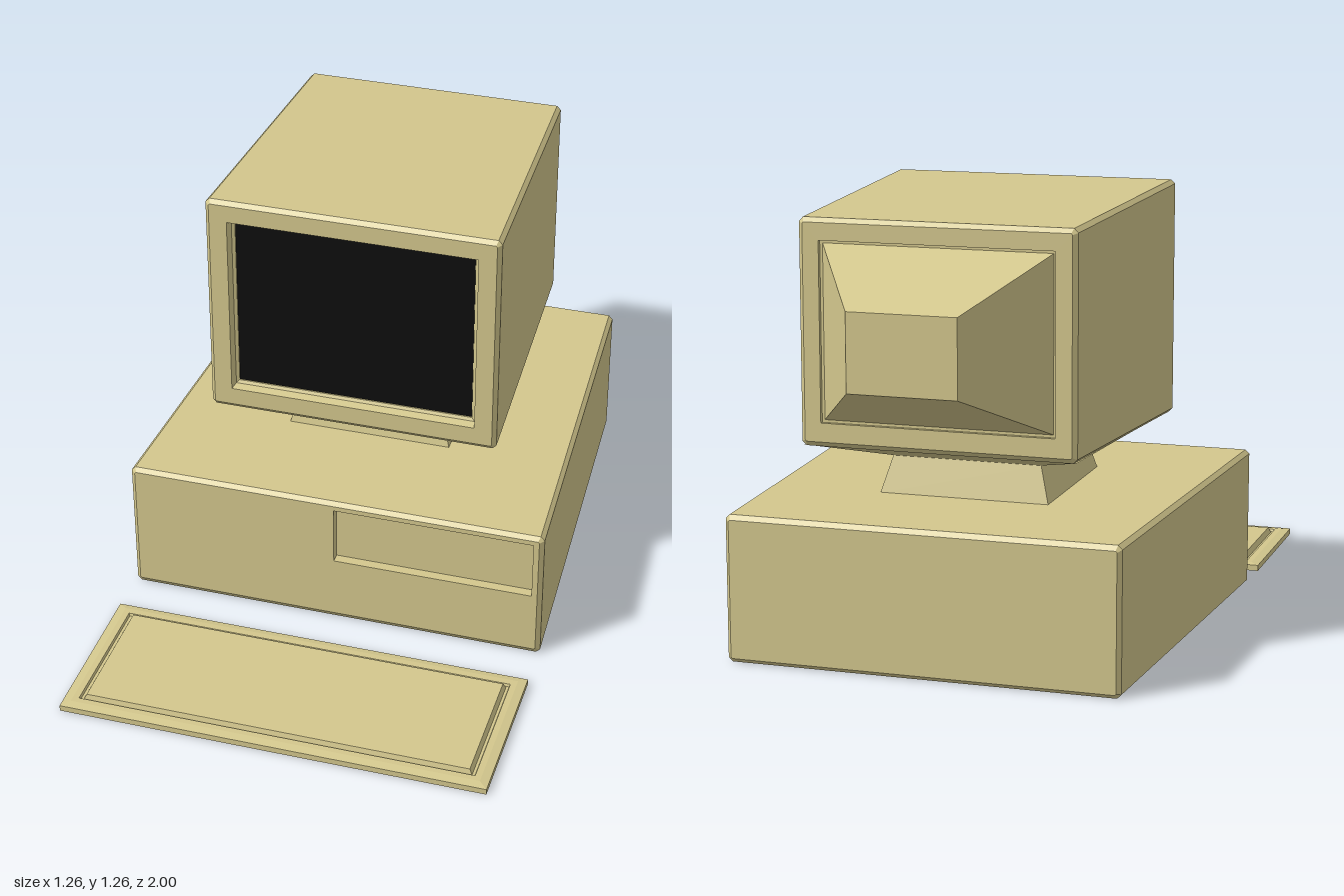
import * as THREE from 'three';

const beige = new THREE.MeshStandardMaterial({ color: 0xd3c78d });
beige.name = 'beige plastic';
beige.flatShading = true;
const black = new THREE.MeshStandardMaterial({ color: 0x0d0d0d });
black.name = 'screen black';

// Rectangle with cut corners, counter-clockwise seen from +z; z may be a rule of (x, y)
function ring(x0, x1, y0, y1, z, c = 0) {
  return [
    [x1, y0 + c], [x1, y1 - c], [x1 - c, y1], [x0 + c, y1],
    [x0, y1 - c], [x0, y0 + c], [x0 + c, y0], [x1 - c, y0],
  ].map(([x, y]) => [x, y, typeof z === 'function' ? z(x, y) : z]);
}

// Symmetric ring lying flat, given by half width, z range and height
const flat = (w, z0, z1, h, c) => ring(-w, w, -z1, -z0, h, c);

// Skin a list of rings and close both ends
function loft(name, rings) {
  const p = [];
  const tri = (a, b, c) => p.push(...a, ...b, ...c);
  for (let r = 0; r + 1 < rings.length; r++) {
    const a = rings[r], b = rings[r + 1];
    for (let i = 0; i < 8; i++) {
      const j = (i + 1) % 8;
      tri(a[i], a[j], b[j]);
      tri(a[i], b[j], b[i]);
    }
  }
  const first = rings[0], last = rings[rings.length - 1];
  for (let i = 1; i < 7; i++) {
    tri(first[0], first[i + 1], first[i]);
    tri(last[0], last[i], last[i + 1]);
  }
  const g = new THREE.BufferGeometry();
  g.setAttribute('position', new THREE.Float32BufferAttribute(p, 3));
  g.computeVertexNormals();
  const mesh = new THREE.Mesh(g, beige);
  mesh.name = name;
  return mesh;
}

// Loft whose rings are stacked upwards
function loftUp(name, rings) {
  const mesh = loft(name, rings);
  mesh.geometry.rotateX(-Math.PI / 2);
  return mesh;
}

export function createModel() {
  const group = new THREE.Group();
  group.name = 'desktopComputer';

  // Tapered case, back to front, ending in the drive bay recess
  group.add(loft('case', [
    ring(-0.555, 0.555, 0.012, 0.408, -0.88, 0.004),
    ring(-0.567, 0.567, 0, 0.422, -0.868, 0.012),
    ring(-0.63, 0.63, 0, 0.422, 0.358, 0.012),
    ring(-0.617, 0.617, 0.018, 0.41, 0.37, 0.004),
    ring(0, 0.6, 0.212, 0.395, 0.37),
    ring(0, 0.6, 0.212, 0.395, 0.34),
  ]));

  // Stand: neck, then flaring out to the sloping monitor underside
  const underside = (x, y) => 0.567 + (0.165 + y) * 0.034;
  group.add(loftUp('stand', [
    flat(0.25, -0.5, 0, 0.42),
    flat(0.22, -0.47, -0.03, 0.526),
  ]));
  group.add(loftUp('monitorUnderside', [
    flat(0.22, -0.47, -0.03, 0.526),
    ring(-0.42, 0.42, -0.168, 0.712, underside).map(([x, y, z]) => [x * (1 - (y + 0.168) * 0.07), y, z]),
  ]));

  // Monitor: rear hump, back panel, tapered shell, bezel and screen recess
  group.add(loft('monitor', [
    ring(-0.155, 0.155, 0.81, 1.03, -1),
    ring(-0.33, 0.33, 0.672, 1.165, -0.715),
    ring(-0.338, 0.338, 0.664, 1.173, -0.715),
    ring(-0.338, 0.338, 0.664, 1.173, -0.727),
    ring(-0.385, 0.385, 0.61, 1.222, -0.727, 0.004),
    ring(-0.398, 0.398, 0.596, 1.235, -0.715, 0.012),
    ring(-0.435, 0.435, 0.566, 1.265, 0.168, 0.012),
    ring(-0.423, 0.423, 0.58, 1.253, 0.18, 0.004),
    ring(-0.37, 0.37, 0.634, 1.2, 0.18),
    ring(-0.364, 0.364, 0.64, 1.194, 0.155),
    ring(-0.355, 0.355, 0.649, 1.185, 0.15),
    ring(-0.355, 0.355, 0.649, 1.185, 0.143),
  ]));

  const screen = new THREE.Mesh(new THREE.PlaneGeometry(0.71, 0.536), black);
  screen.name = 'screen';
  screen.position.set(0, 0.917, 0.146);
  group.add(screen);

  // Keyboard: thin slab with a groove around the raised key field
  group.add(loftUp('keyboard', [
    flat(0.63, 0.51, 1, 0),
    flat(0.63, 0.51, 1, 0.018),
    flat(0.605, 0.53, 0.975, 0.022),
    flat(0.587, 0.55, 0.957, 0.022),
    flat(0.584, 0.553, 0.954, 0.014),
    flat(0.576, 0.558, 0.949, 0.014),
    flat(0.568, 0.563, 0.944, 0.03),
  ]));

  return group;
}
